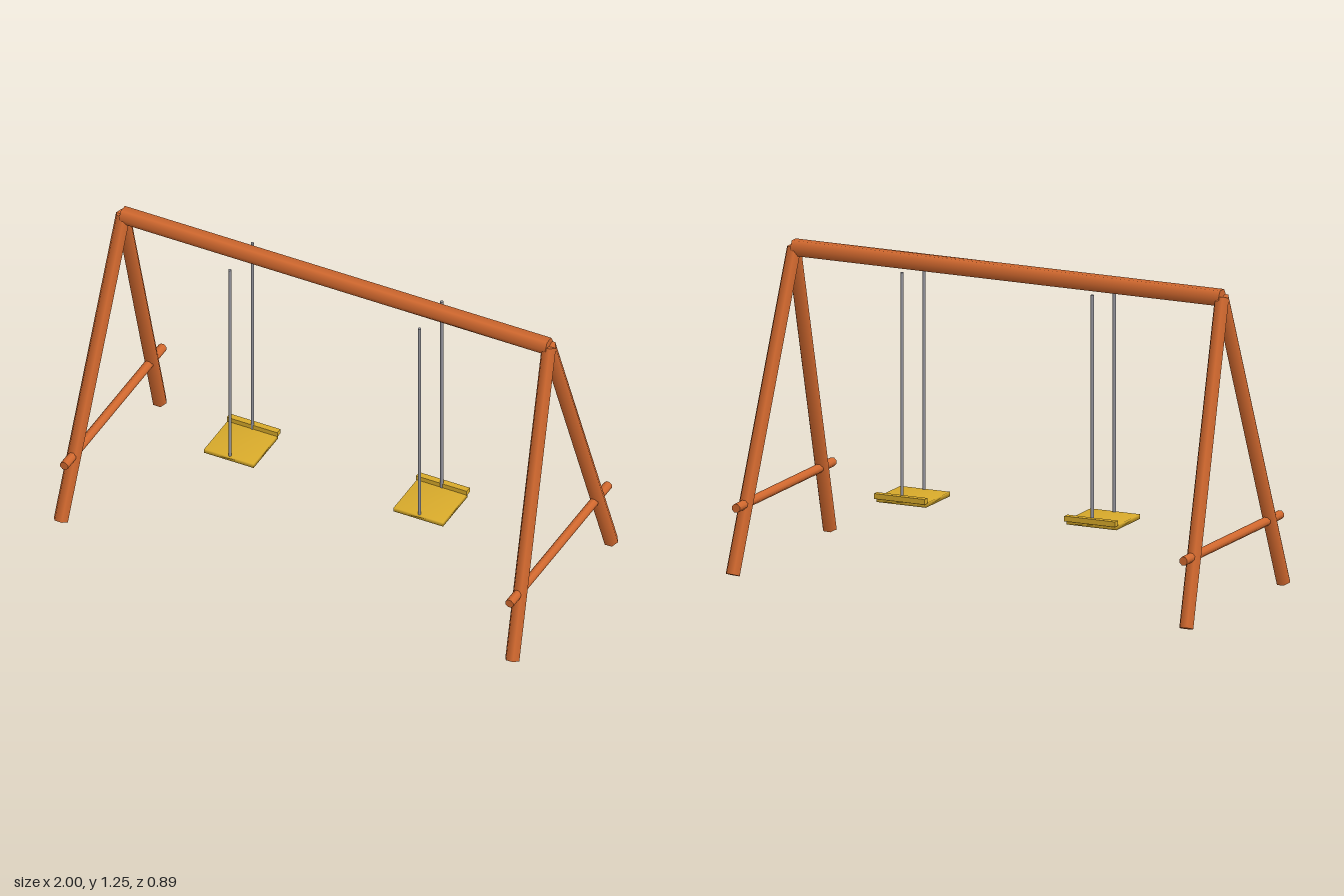
import * as THREE from 'three';
import { mergeVertices } from 'three/addons/utils/BufferGeometryUtils.js';

const wood = new THREE.MeshStandardMaterial({ color: 0xd2692f });
const yellow = new THREE.MeshStandardMaterial({ color: 0xd9ab2b });
const steel = new THREE.MeshStandardMaterial({ color: 0x94949c });
const UP = new THREE.Vector3(0, 1, 0);

// Prism-like pole between two points; spin turns its corners about its axis
function pole(name, from, to, radius, sides, material, spin = 0) {
  const a = new THREE.Vector3(...from), b = new THREE.Vector3(...to);
  const axis = b.clone().sub(a);
  const geometry = new THREE.CylinderGeometry(radius, radius, axis.length(), sides).rotateY(spin);
  const mesh = new THREE.Mesh(geometry, material);
  mesh.quaternion.setFromUnitVectors(UP, axis.normalize());
  mesh.position.copy(a).add(b).multiplyScalar(0.5);
  mesh.name = name;
  return mesh;
}

// Thin seat board with softly shaded, shared corners
function seatBoard() {
  const geometry = new THREE.BoxGeometry(0.212, 0.018, 0.206);
  geometry.deleteAttribute('normal');
  geometry.deleteAttribute('uv');
  const soft = mergeVertices(geometry);
  soft.computeVertexNormals();
  const mesh = new THREE.Mesh(soft, yellow);
  mesh.name = 'seatBoard';
  mesh.position.set(0, 0.287, 0.002);
  return mesh;
}

function swing(x) {
  const group = new THREE.Group();
  group.name = 'swing';
  group.position.x = x;
  group.add(seatBoard());

  // Raised lip along the back edge
  const lip = new THREE.Mesh(new THREE.BoxGeometry(0.217, 0.021, 0.026), yellow);
  lip.name = 'seatLip';
  lip.position.set(0, 0.304, -0.104);
  group.add(lip);

  // Hangers in front of and behind the beam
  for (const z of [-0.094, 0.096]) {
    group.add(pole('hanger', [0, 0.285, z], [0, 1.194, z], 0.0065, 8, steel));
  }
  return group;
}

function endFrame(side) {
  const group = new THREE.Group();
  group.name = 'endFrame';
  for (const z of [-1, 1]) {
    group.add(pole('leg', [side * 0.97, 0.01, z * 0.419], [side * 0.915, 1.218, 0],
      0.03, 6, wood, Math.PI / 2));
  }
  group.add(pole('crossbar', [side * 0.957, 0.274, -0.418], [side * 0.957, 0.274, 0.418],
    0.018, 8, wood, Math.PI / 8));
  return group;
}

export function createModel() {
  const model = new THREE.Group();
  model.name = 'swingSet';
  model.add(pole('topBeam', [-0.916, 1.218, 0], [0.916, 1.218, 0], 0.035, 6, wood));
  for (const side of [-1, 1]) model.add(endFrame(side), swing(side * 0.407));
  return model;
}
